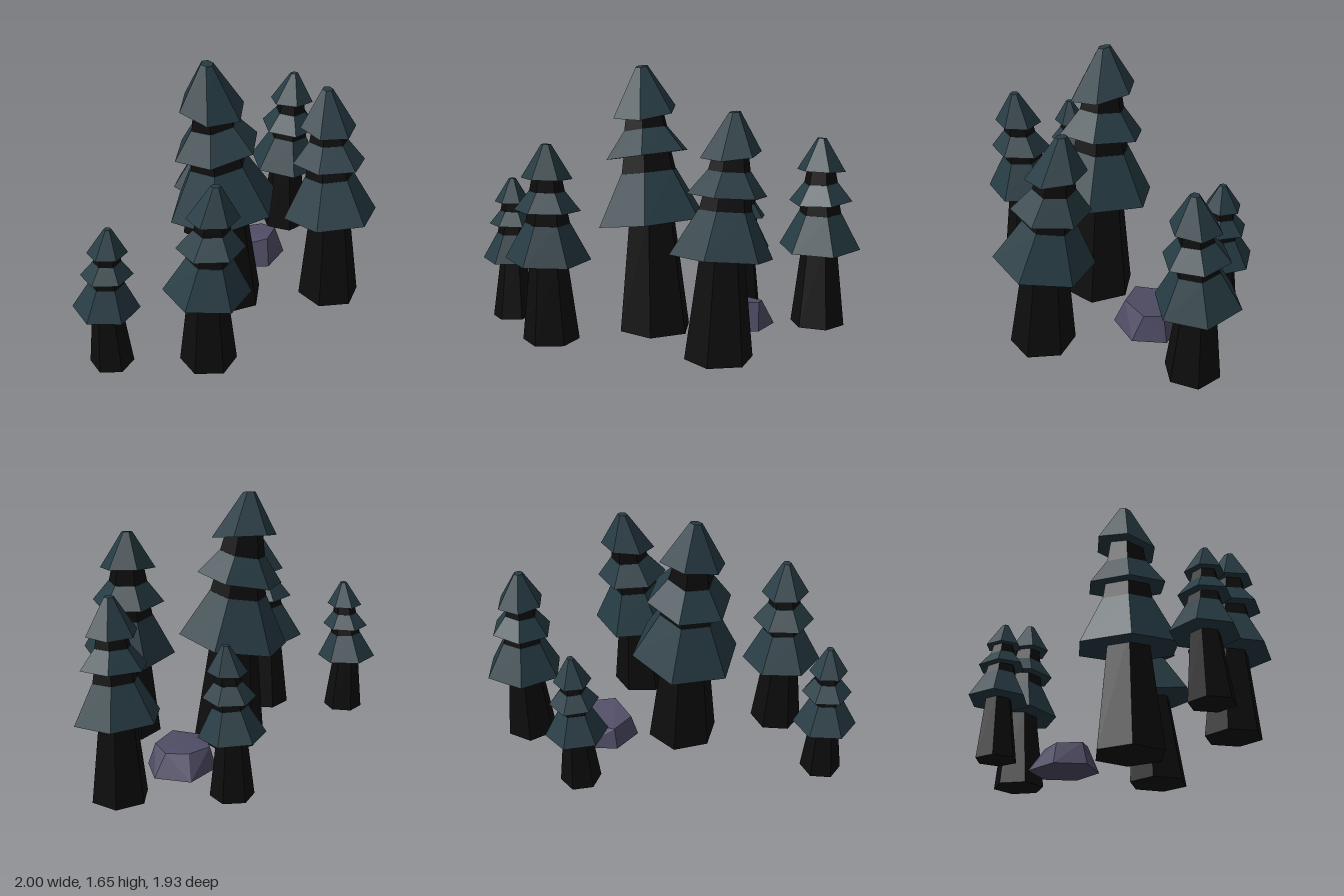
import * as THREE from 'three';
import { ConvexGeometry } from 'three/addons/geometries/ConvexGeometry.js';

const flat = (name, color) => {
  const m = new THREE.MeshStandardMaterial({ color, flatShading: true });
  m.name = name;
  return m;
};

// Six-sided frustum between two centres; slope tips its rings, turn sets a corner direction
function frustum(low, high, rLow, rHigh, turn, slope = [0, 0]) {
  const geo = new THREE.CylinderGeometry(rHigh, rLow, 1, 6, 1, false, Math.PI / 2 - turn);
  const p = geo.attributes.position;
  const c = new THREE.Vector3();
  for (let i = 0; i < p.count; i++) {
    const x = p.getX(i), z = p.getZ(i);
    c.lerpVectors(low, high, p.getY(i) + 0.5);
    p.setXYZ(i, x + c.x, c.y + x * slope[0] + z * slope[1], z + c.z);
  }
  geo.computeVertexNormals();
  return geo;
}

// Tier proportions for a tree one unit tall
const TIERS = [
  { name: 'topTier', rim: 0.83, top: 1, rRim: 0.127, rTop: 0.024 },
  { name: 'middleTier', rim: 0.668, top: 0.765, rRim: 0.166, rTop: 0.09 },
  { name: 'lowerTier', rim: 0.418, top: 0.605, rRim: 0.215, rTop: 0.113 },
];

// base, skirt and tip are [x, z] centres; slopes tilt the tiers from top to bottom
const TREES = [
  { name: 'tallestTree', h: 1.64, turn: -8, base: [0.05, 0.1], skirt: [0.02, 0.095], tip: [-0.08, 0.09],
    slopes: [[-0.03, -0.2], [0.18, 0], [0.15, 0]] },
  { name: 'rightFrontTree', h: 1.4, turn: 7, base: [0.71, 0.24], skirt: [0.7, 0.213], tip: [0.68, 0.09],
    slopes: [[0, -0.12], [0, 0.08], [0.04, 0.13]] },
  { name: 'rightBackTree', h: 1.2, turn: 35, base: [0.72, -0.705], skirt: [0.715, -0.715], tip: [0.74, -0.675],
    slopes: [[0, 0.04], [0, -0.08], [-0.04, -0.06]] },
  { name: 'smallBackTree', h: 0.92, turn: -3, base: [0.07, -0.72], skirt: [0.07, -0.725], tip: [0.105, -0.713],
    slopes: [[0.03, 0], [0, 0.04], [-0.05, -0.02]] },
  { name: 'frontTree', h: 1.2, turn: 12.6, base: [-0.235, 0.71], skirt: [-0.243, 0.715], tip: [-0.2, 0.747],
    slopes: [[0, 0.05], [0, 0.04], [-0.05, 0]] },
  { name: 'smallLeftTree', h: 0.92, turn: 13, base: [-0.8, 0.585], skirt: [-0.81, 0.565], tip: [-0.777, 0.583],
    slopes: [[0, 0.04], [0, 0.04], [-0.04, -0.01]] },
];

export function createModel() {
  const model = new THREE.Group();
  model.name = 'forestCluster';
  const bark = flat('bark', 0x0e0d0d);
  const needles = flat('needles', 0x263b43);
  const stone = flat('stone', 0x504d66);

  const add = (parent, name, geo, mat) => {
    const mesh = new THREE.Mesh(geo, mat);
    mesh.name = name;
    parent.add(mesh);
  };

  for (const { name, h, turn, base, skirt, tip, slopes } of TREES) {
    const tree = new THREE.Group();
    tree.name = name;
    model.add(tree);
    const angle = THREE.MathUtils.degToRad(turn);
    const foot = new THREE.Vector3(base[0], 0, base[1]);
    const waist = new THREE.Vector3(skirt[0], 0.418 * h, skirt[1]);
    const crown = new THREE.Vector3(tip[0], h, tip[1]);
    const axis = (y) => new THREE.Vector3().lerpVectors(waist, crown, (y - 0.418) / 0.582);

    add(tree, 'trunk', frustum(foot, axis(0.45), 0.143 * h, 0.09 * h, angle), bark);

    TIERS.forEach((t, i) => {
      add(tree, t.name,
        frustum(axis(t.rim), axis(t.top), t.rRim * h, t.rTop * h, angle, slopes[i]), needles);
      // Bare trunk showing above the tier
      if (i > 0) {
        add(tree, t.name + 'Collar',
          frustum(axis(t.top - 0.01), axis(t.top + 0.1), t.rTop * h, (t.rTop - 0.022) * h, angle, slopes[i]), bark);
      }
    });
  }

  // Faceted boulder
  const rock = [
    [0.15, 0, -0.38], [0.31, 0, -0.565], [0.53, 0, -0.5], [0.575, 0, -0.29], [0.41, 0, -0.125], [0.195, 0, -0.175],
    [0.19, 0.14, -0.37], [0.32, 0.14, -0.465], [0.46, 0.145, -0.46], [0.525, 0.165, -0.35], [0.42, 0.18, -0.2], [0.22, 0.15, -0.21],
  ].map((p) => new THREE.Vector3(...p));
  add(model, 'rock', new ConvexGeometry(rock), stone);

  return model;
}
